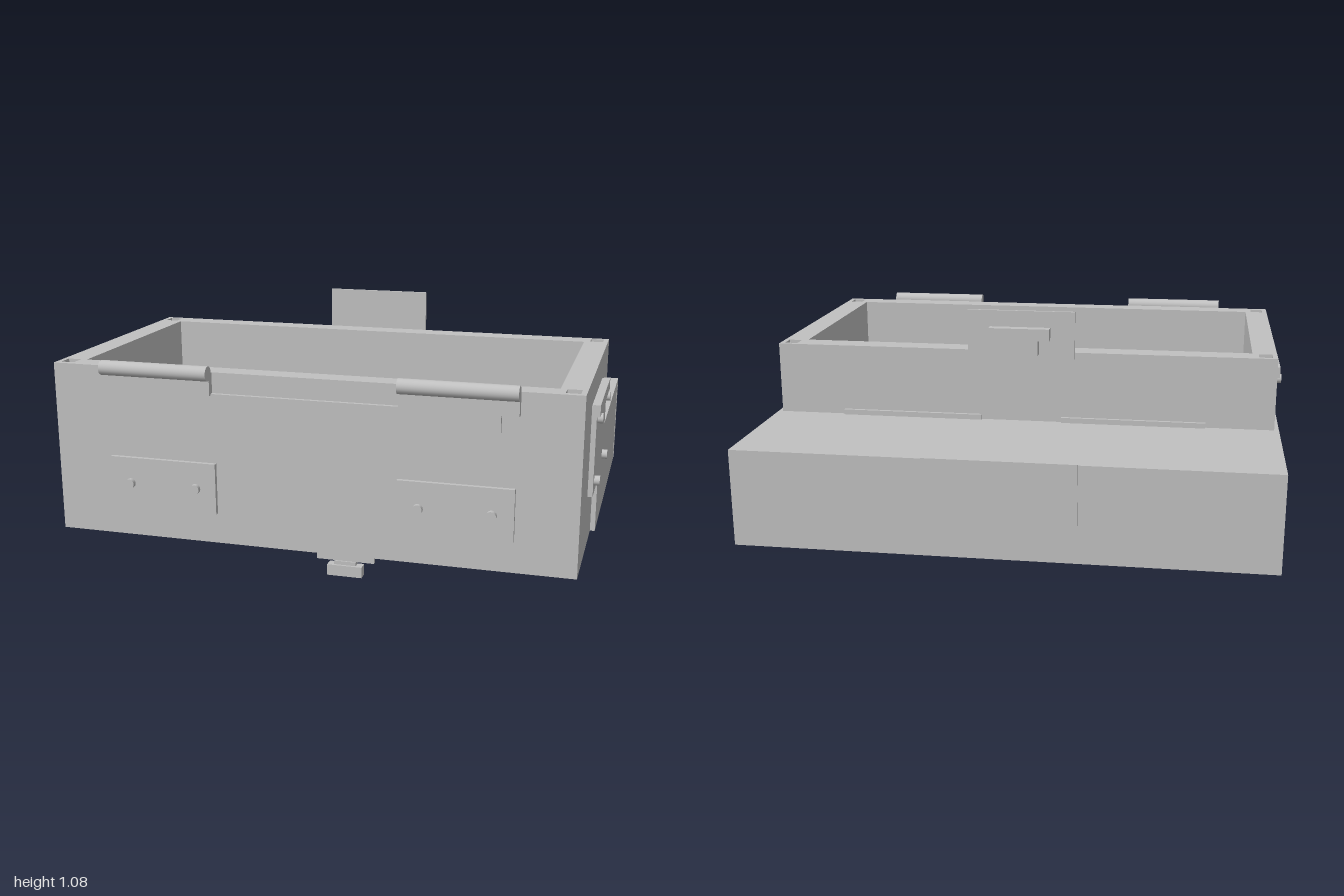
import * as THREE from 'three';

export function createModel() {
  const model = new THREE.Group();
  const grey = new THREE.MeshStandardMaterial({ color: 0xc0c0c0 });
  grey.name = 'plainGrey';

  const add = (name, geometry) => {
    const mesh = new THREE.Mesh(geometry, grey);
    mesh.name = name;
    model.add(mesh);
    return mesh;
  };
  // Box given by its minimum and maximum on each axis
  const box = (name, x0, x1, y0, y1, z0, z1) =>
    add(name, new THREE.BoxGeometry(x1 - x0, y1 - y0, z1 - z0))
      .position.set((x0 + x1) / 2, (y0 + y1) / 2, (z0 + z1) / 2);
  // Round pin or pipe along an axis
  const rod = (name, axis, radius, length, x, y, z) => {
    const g = new THREE.CylinderGeometry(radius, radius, length, 24);
    if (axis === 'x') g.rotateZ(Math.PI / 2);
    if (axis === 'z') g.rotateX(Math.PI / 2);
    add(name, g).position.set(x, y, z);
  };
  const rectangle = (Type, x0, x1, y0, y1) => new Type([
    [x0, y0], [x1, y0], [x1, y1], [x0, y1],
  ].map(([x, y]) => new THREE.Vector2(x, y)));

  // Thick main walls with a square socket in each corner
  const rim = rectangle(THREE.Shape, -0.962, 0.962, -0.74, 0.265);
  rim.holes.push(rectangle(THREE.Path, -0.87, 0.87, -0.66, 0.18));
  for (const x of [-0.918, 0.918]) {
    for (const z of [-0.22, 0.69]) {
      rim.holes.push(rectangle(THREE.Path, x - 0.025, x + 0.025, -z - 0.028, -z + 0.028));
    }
  }
  const walls = new THREE.ExtrudeGeometry(rim, { depth: 0.62, bevelEnabled: false });
  walls.rotateX(-Math.PI / 2).translate(0, 0.305, 0);
  add('mainWalls', walls);
  box('bottomBoard', -0.962, 0.962, 0.287, 0.305, -0.265, 0.74);

  // Inner shelf and its front board
  box('innerShelf', -0.87, 0.87, 0.63, 0.65, -0.18, 0.235);
  box('innerDivider', -0.87, 0.87, 0.305, 0.63, 0.215, 0.235);
  box('dividerHingeLeaf', -0.25, 0.25, 0.305, 0.42, 0.235, 0.275);

  // Rear compartment, open below, with a hanging back board
  box('rearLid', -0.98, 0.98, 0.63, 0.65, -0.79, -0.265);
  box('backBoard', -0.98, 0.98, 0.287, 0.63, -0.79, -0.765);
  box('backPlate', -0.275, 0.275, 0.43, 0.655, -0.8, -0.79);

  // Stepped side panels
  const outline = [
    [-0.735, 0.287], [0.245, 0.287], [0.245, 0.492], [0.465, 0.492],
    [0.465, 0.826], [0.015, 0.826], [0.015, 0.65], [-0.265, 0.65],
    [-0.265, 0.63], [-0.735, 0.63],
  ].map(([z, y]) => new THREE.Vector2(z, y));
  const panel = new THREE.ExtrudeGeometry(new THREE.Shape(outline), { depth: 0.018, bevelEnabled: false });
  panel.rotateY(-Math.PI / 2);

  for (const s of [-1, 1]) {
    add('sidePanel', panel).position.x = s > 0 ? 0.98 : -0.962;
    const mid = s * 0.98;
    box('sidePanelBar', mid - 0.012, mid + 0.012, 0.785, 0.828, 0.015, 0.465);
    for (const z of [0.07, 0.415]) {
      for (const y of [0.54, 0.77]) rod('sideRivet', 'x', 0.018, 0.03, s * 0.985, y, z);
    }

    // Front pipe hinges
    const x = s * 0.547;
    rod('hingePipe', 'x', 0.027, 0.41, x, 0.926, 0.773);
    box('hingeLeaf', x - 0.205, x + 0.205, 0.845, 0.925, 0.74, 0.766);

    // Riveted plates on the front and on the hidden rear wall
    const px = s * 0.54;
    for (const [z, dir] of [[0.74, 1], [-0.265, -1]]) {
      const z1 = z + dir * 0.016;
      box('rivetedPlate', px - 0.205, px + 0.205, 0.4, 0.59, Math.min(z, z1), Math.max(z, z1));
      for (const dx of [-0.128, 0.128]) {
        rod('plateRivet', 'z', 0.018, 0.02, px + dx, 0.493, z + dir * 0.023);
      }
    }

    // Low strips on both sides of the rear wall
    const sx = s * 0.43;
    box('outerStrip', sx - 0.275, sx + 0.275, 0.65, 0.67, -0.278, -0.265);
    box('innerStrip', sx - 0.275, sx + 0.275, 0.65, 0.67, -0.18, -0.165);
  }
  box('frontStrip', -0.69, 0.69, 0.782, 0.85, 0.74, 0.755);

  // Upright latch on the rear wall
  box('latchPlate', -0.205, 0.205, 0.9, 1.082, -0.276, -0.265);
  box('latchStem', -0.07, 0.07, 0.92, 1.015, -0.325, -0.276);
  box('latchBar', -0.115, 0.115, 0.98, 1.025, -0.336, -0.3);

  // Hanging clasp below the bottom
  rod('claspHinge', 'x', 0.025, 0.5, 0, 0.287, 0.268);
  box('claspPlate', -0.12, 0.12, 0.06, 0.287, 0.227, 0.243);
  box('claspBlock', -0.06, 0.06, 0.2, 0.275, 0.205, 0.227);
  box('claspNeck', -0.045, 0.045, 0.045, 0.06, 0.224, 0.25);
  box('claspFoot', -0.072, 0.072, 0, 0.045, 0.217, 0.26);

  return model;
}
